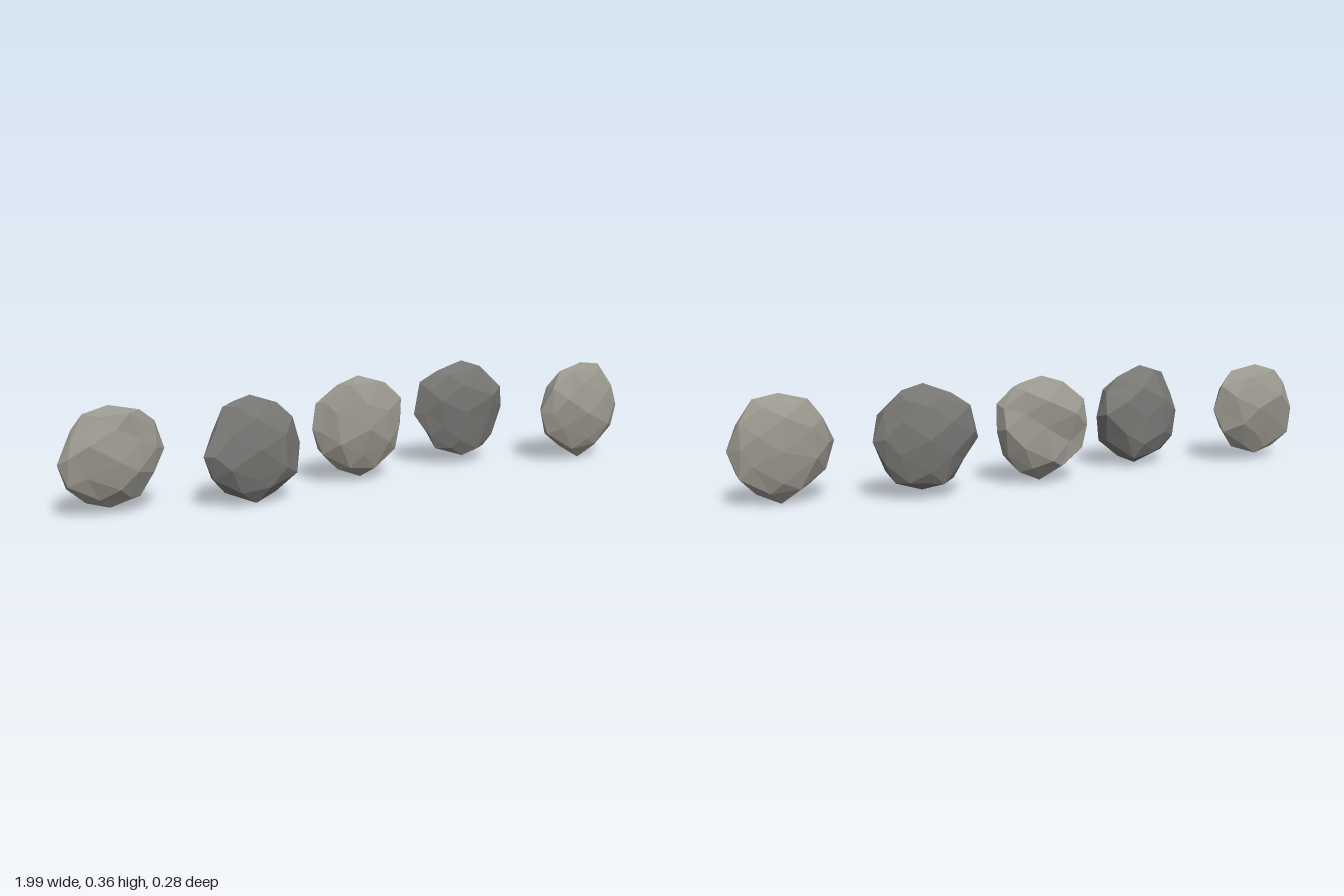
import * as THREE from 'three';
import { mergeVertices } from 'three/addons/utils/BufferGeometryUtils.js';

// Each stone: centre x/y, back and front z, slope of z along x,
// and outline radii every 30 degrees (hundredths), counter-clockwise from +x
const STONES = [
  { x: -0.835, y: 0.185, z: [-0.066, 0.058], slope: 0.02, color: 0x9a978e,
    rim: [16.4, 16.6, 16, 15.5, 15.5, 16, 16.5, 16, 16, 16, 15.5, 15] },
  { x: -0.425, y: 0.18, z: [0.018, 0.14], slope: -0.06, color: 0x787774,
    rim: [16.2, 17.6, 16.2, 17, 17, 15.2, 16.3, 17.3, 15.5, 17, 16, 17] },
  { x: -0.003, y: 0.185, z: [-0.101, 0.038], slope: 0.02, color: 0x9a978e,
    rim: [15.5, 17, 17, 17, 16.5, 18, 16, 16, 15.5, 17, 16, 16.5] },
  { x: 0.414, y: 0.195, z: [-0.145, -0.026], slope: 0.14, color: 0x787774,
    rim: [16.2, 17, 16.5, 17, 16, 16.2, 16.8, 14.2, 16, 16.3, 16.5, 15.5] },
  { x: 0.826, y: 0.185, z: [-0.032, 0.1], slope: -0.06, color: 0x9a978e,
    rim: [16.8, 16.6, 17.2, 16, 16, 16, 16.5, 16.5, 15, 18, 16.5, 17.6] },
];

function seeded(seed) {
  let s = seed;
  return () => ((s = (s * 16807) % 2147483647) / 2147483647) * 2 - 1;
}

// Flattened, faceted pebble: a subdivided icosahedron fitted to the outline
function stoneGeometry({ rim, slope, z: [back, front] }, seed) {
  let geo = new THREE.IcosahedronGeometry(1, 1);
  geo.deleteAttribute('normal');
  geo.deleteAttribute('uv');
  geo = mergeVertices(geo, 1e-3);
  const p = geo.attributes.position;
  const rand = seeded(seed);
  for (let i = 0; i < p.count; i++) {
    const x = p.getX(i), y = p.getY(i), z = p.getZ(i);
    const turn = ((Math.atan2(y, x) / (Math.PI * 2) + 1) % 1) * 12;
    const k = Math.floor(turn) % 12;
    const reach = THREE.MathUtils.lerp(rim[k], rim[(k + 1) % 12], turn % 1) / 100;
    const flat = Math.hypot(x, y);
    const inner = Math.abs(z) > 0.1 ? 1 : 0;
    const r = reach * Math.pow(flat, 0.9) * (1 + 0.04 * inner * (rand() - 0.5));
    const a = Math.atan2(y, x) + 0.06 * rand();
    const px = r * Math.cos(a) + 0.012 * rand() * inner;
    const py = r * Math.sin(a) + 0.012 * rand() * inner;
    p.setXYZ(i, px, py, 0.06 * z + slope * px + 0.012 * rand());
  }
  // Fit the thickness exactly
  geo.computeBoundingBox();
  const { min, max } = geo.boundingBox;
  for (let i = 0; i < p.count; i++) {
    p.setZ(i, THREE.MathUtils.mapLinear(p.getZ(i), min.z, max.z, back, front));
  }
  geo = geo.toNonIndexed();
  geo.computeVertexNormals();
  return geo;
}

export function createModel() {
  const group = new THREE.Group();
  group.name = 'steppingStones';
  STONES.forEach((stone, i) => {
    const material = new THREE.MeshStandardMaterial({ color: stone.color, flatShading: true });
    const mesh = new THREE.Mesh(stoneGeometry(stone, 1237 + i * 7919), material);
    mesh.name = `stone${i + 1}`;
    mesh.position.set(stone.x, stone.y, 0);
    group.add(mesh);
  });
  // Settle the row on the ground
  group.updateMatrixWorld(true);
  const low = new THREE.Box3().setFromObject(group, true).min.y;
  group.children.forEach((m) => { m.position.y -= low; });
  return group;
}
